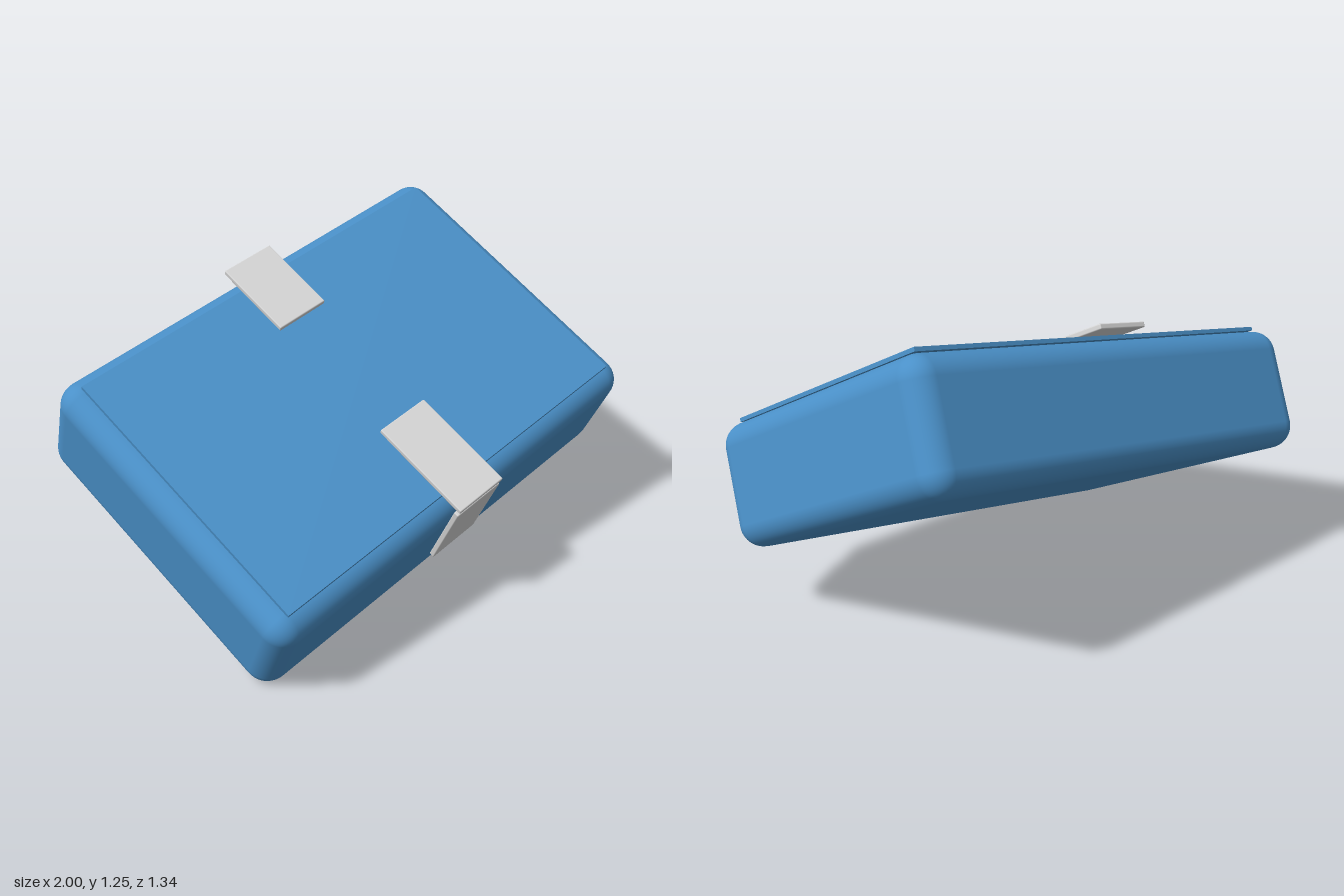
import * as THREE from 'three';
import { RoundedBoxGeometry } from 'three/addons/geometries/RoundedBoxGeometry.js';

export function createModel() {
  const model = new THREE.Group();
  const blue = new THREE.MeshStandardMaterial({ color: 0x4a90c8 });
  blue.name = 'blue shell';
  const grey = new THREE.MeshStandardMaterial({ color: 0xd6d6d6 });
  grey.name = 'light grey clasp';

  // The whole case is tipped forward and rolled to one side
  const box = new THREE.Group();
  box.name = 'tiltedCase';
  box.rotation.set(THREE.MathUtils.degToRad(28), 0, THREE.MathUtils.degToRad(10), 'ZXY');
  box.position.set(0, 0.615, -0.0325);
  model.add(box);

  function add(name, geometry, material, x = 0, y = 0, z = 0) {
    const mesh = new THREE.Mesh(geometry, material);
    mesh.name = name;
    mesh.position.set(x, y, z);
    box.add(mesh);
    return mesh;
  }

  // Rounded body
  add('body', new RoundedBoxGeometry(1.893, 0.476, 1.252, 6, 0.09), blue);

  // Thin lid panel, rising very slightly to its middle
  let lid = new THREE.CylinderGeometry(Math.SQRT1_2, Math.SQRT1_2, 0.015, 4);
  lid.rotateY(Math.PI / 4);
  lid.scale(1.736, 1, 1.11);
  const p = lid.attributes.position;
  for (let i = 0; i < p.count; i++) {
    if (Math.hypot(p.getX(i), p.getZ(i)) < 0.01 && p.getY(i) > 0) p.setY(i, p.getY(i) + 0.012);
  }
  lid = lid.toNonIndexed();
  lid.computeVertexNormals();
  add('lidPanel', lid, blue, 0, 0.249, 0);

  // Clasp plates: rear and front on the lid, one down the front face
  const plate = (name, y0, y1, z0, z1) => add(
    name,
    new RoundedBoxGeometry(0.232, y1 - y0, z1 - z0, 2, 0.005),
    grey, 0, (y0 + y1) / 2, (z0 + z1) / 2
  );
  plate('rearClasp', 0.258, 0.279, -0.655, -0.327);
  plate('frontClaspTop', 0.258, 0.279, 0.227, 0.65);
  plate('frontClaspFace', -0.093, 0.242, 0.628, 0.65);

  return model;
}
